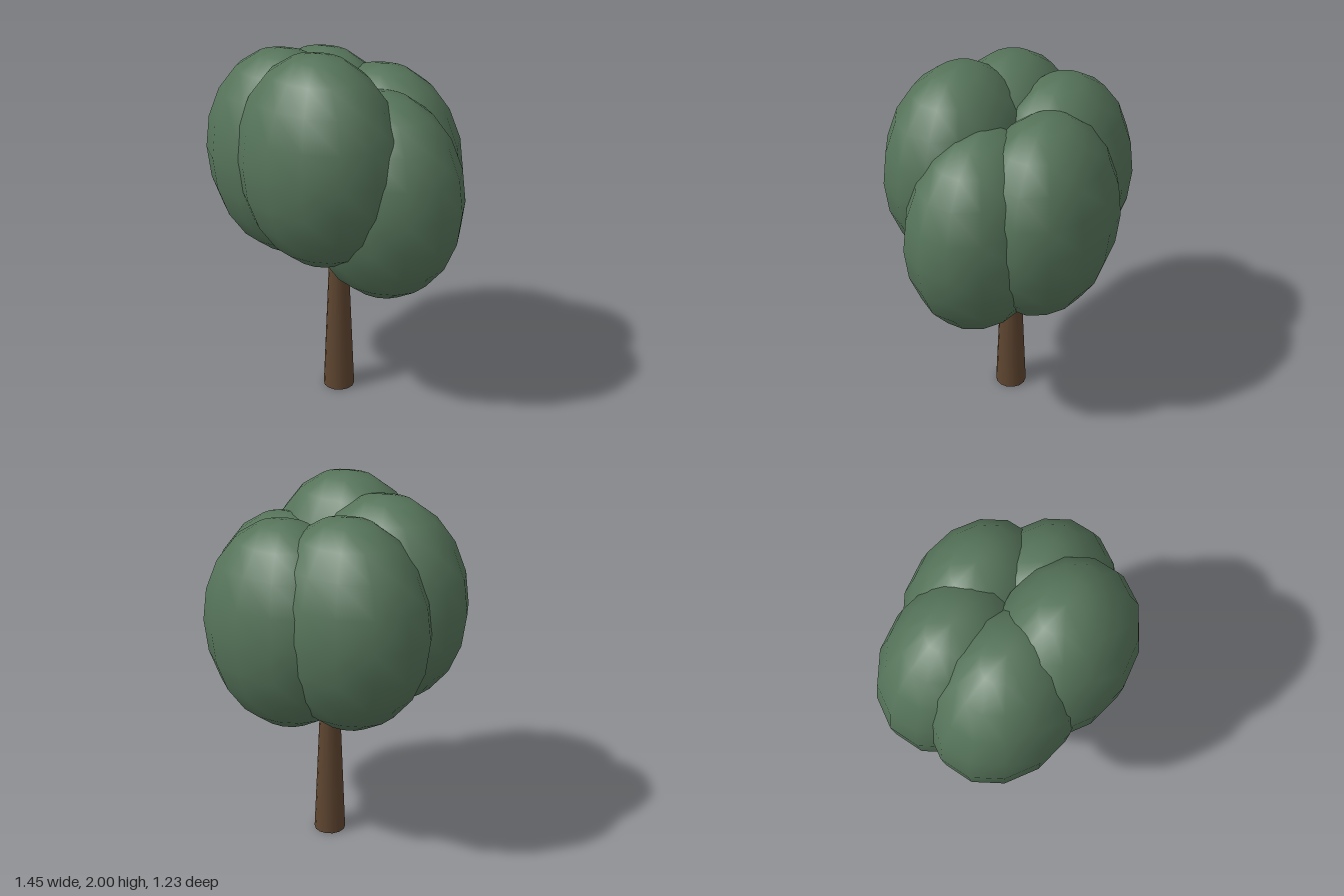
import * as THREE from 'three';

export function createModel() {
  const tree = new THREE.Group();
  tree.name = 'tree';
  const leaf = new THREE.MeshStandardMaterial({ color: 0x557359 });
  leaf.name = 'leaf green';
  const bark = new THREE.MeshStandardMaterial({ color: 0x5e4530 });
  bark.name = 'bark brown';
  const axisX = -0.031;

  // Tapered trunk, its top hidden in the foliage
  const trunkHeight = 1.1;
  const trunk = new THREE.Mesh(new THREE.CylinderGeometry(0.04, 0.087, trunkHeight, 14), bark);
  trunk.name = 'trunk';
  trunk.position.set(axisX, trunkHeight / 2, 0);
  tree.add(trunk);

  // Five equal foliage clumps in a rising ring around the trunk
  const clump = new THREE.SphereGeometry(1, 14, 10);
  clump.rotateY(Math.PI / 2); // a column of vertices points along z
  clump.scale(0.467, 0.557, 0.367);
  const foliage = new THREE.Group();
  foliage.name = 'foliage';
  for (let i = 0; i < 5; i++) {
    const a = (i / 5) * Math.PI * 2;
    const mesh = new THREE.Mesh(clump, leaf);
    mesh.name = 'foliageClump' + (i + 1);
    mesh.position.set(axisX + 0.296 * Math.cos(a), 1.24 + 0.051 * i, -0.263 * Math.sin(a));
    foliage.add(mesh);
  }
  tree.add(foliage);
  return tree;
}
